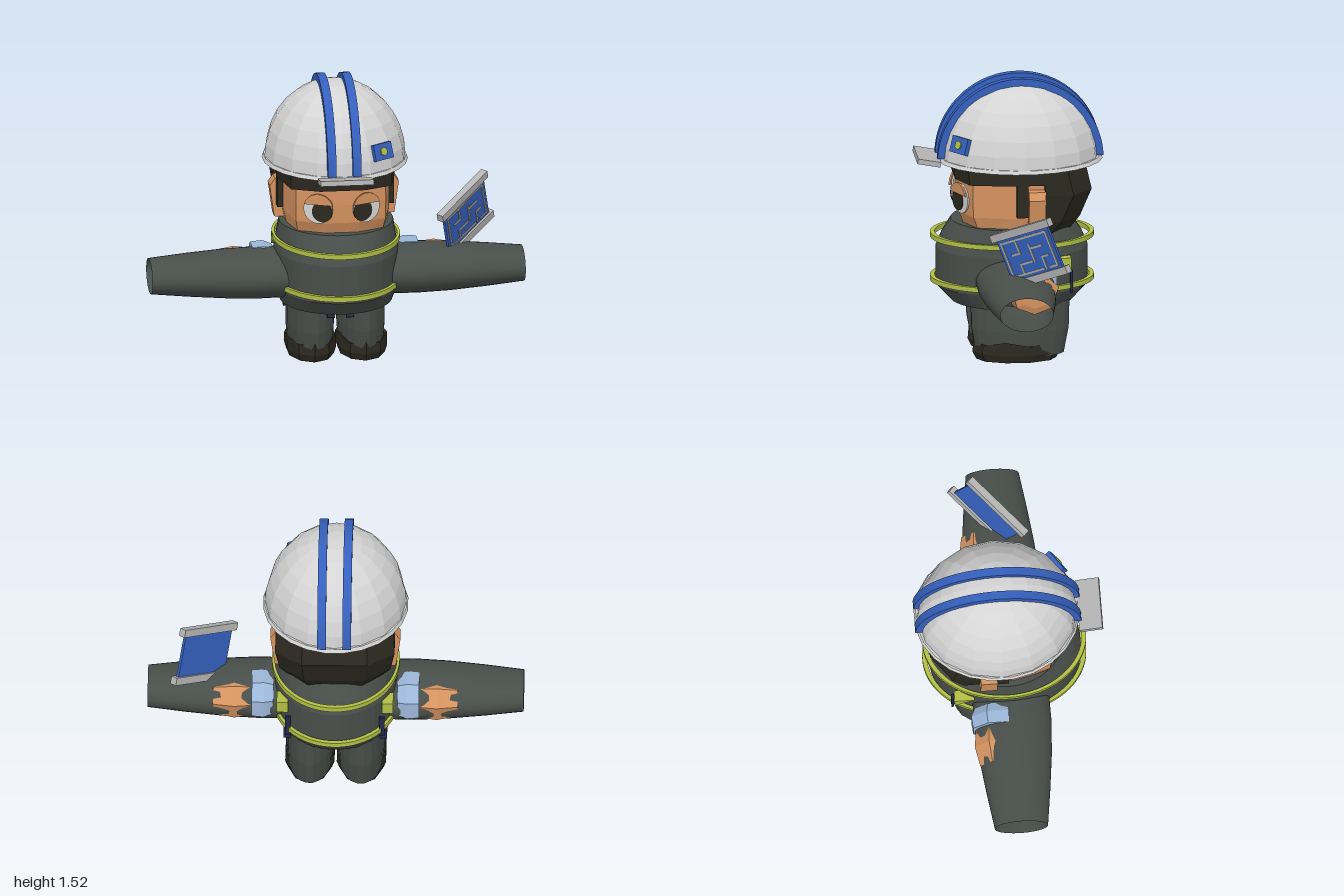
import * as THREE from 'three';

const mat = (name, color, side = THREE.FrontSide) => {
  const m = new THREE.MeshStandardMaterial({ color, side });
  m.name = name;
  return m;
};

export function createModel() {
  const suit = mat('suitGrey', 0x484e4a, THREE.DoubleSide);
  const lime = mat('reflectiveLime', 0xb2c045);
  const white = mat('helmetWhite', 0xd4d4d4, THREE.DoubleSide);
  const blue = mat('blue', 0x3560bd);
  const skin = mat('skin', 0xd4925f);
  const dark = mat('darkBrown', 0x2b291f);
  const cuffBlue = mat('cuffBlue', 0x9cb6d8);
  const navy = mat('navy', 0x23284c);
  const grey = mat('railGrey', 0xb4b4b4);
  const beige = mat('lineBeige', 0xb0aca0);

  const model = new THREE.Group();
  const add = (name, geo, material, parent = model) => {
    const mesh = new THREE.Mesh(geo, material);
    mesh.name = name;
    parent.add(mesh);
    return mesh;
  };
  // flat facets
  const flat = (geo) => {
    const g = geo.index ? geo.toNonIndexed() : geo;
    g.computeVertexNormals();
    return g;
  };
  // mirrored copy across x with corrected winding
  const mirror = (geo) => {
    const g = geo.clone().scale(-1, 1, 1);
    const n = g.attributes.position.count;
    const idx = g.index ? Array.from(g.index.array) : Array.from({ length: n }, (_, i) => i);
    for (let i = 0; i < idx.length; i += 3) [idx[i + 1], idx[i + 2]] = [idx[i + 2], idx[i + 1]];
    g.setIndex(idx);
    return g;
  };
  const pair = (name, geo, material) => {
    add(name + 'Left', geo, material);
    add(name + 'Right', mirror(geo), material);
  };
  // skin a list of rings, each counterclockwise about the direction of travel
  const loft = (rings, { caps = true, smooth = false } = {}) => {
    const n = rings[0].length, idx = [];
    for (let i = 0; i < rings.length - 1; i++)
      for (let j = 0; j < n; j++) {
        const k = (j + 1) % n, a = i * n + j, b = i * n + k, c = b + n, d = a + n;
        idx.push(a, b, c, a, c, d);
      }
    const t = (rings.length - 1) * n;
    if (caps) for (let j = 1; j < n - 1; j++) idx.push(0, j + 1, j, t, t + j, t + j + 1);
    const g = new THREE.BufferGeometry();
    g.setAttribute('position', new THREE.Float32BufferAttribute(rings.flat(2), 3));
    g.setIndex(idx);
    if (!smooth) return flat(g);
    g.computeVertexNormals();
    return g;
  };
  const around = (n, fn, turn = 0.5) =>
    Array.from({ length: n }, (_, j) => fn(((j + turn) / n) * Math.PI * 2));
  const ringY = (n, y, cx, cz, rx, rz) =>
    around(n, (a) => [cx + rx * Math.cos(a), y, cz - rz * Math.sin(a)]);
  const ringX = (n, x, cy, cz, ry, rz) =>
    around(n, (a) => [x, cy + ry * Math.cos(a), cz + rz * Math.sin(a)]);
  // symmetric polygon ring: right half listed from front to back
  const ringPoly = (y, half) => [
    ...half.map(([x, z]) => [x, y, z]),
    ...half.slice().reverse().map(([x, z]) => [-x, y, z]),
  ];

  // torso
  const torso = [[0.3, 0.3, 0.325], [0.385, 0.328, 0.405], [0.59, 0.33, 0.405], [0.66, 0.318, 0.375], [0.74, 0.305, 0.325]];
  add('torso', loft(torso.map(([y, rx, rz]) => ringY(40, y, 0, -0.015, rx, rz))), suit);

  // reflective bands
  for (const [name, y] of [['upperBand', 0.64], ['lowerBand', 0.403]]) {
    const s = new THREE.Shape().absellipse(0, 0.017, 0.34, 0.437, 0, Math.PI * 2);
    s.holes.push(new THREE.Path().absellipse(0, 0.017, 0.325, 0.412, 0, Math.PI * 2));
    const g = new THREE.ExtrudeGeometry(s, { depth: 0.026, bevelEnabled: false, curveSegments: 40 });
    add(name, g.rotateX(-Math.PI / 2).translate(0, y, 0), lime);
  }

  // wide open sleeves
  const sleeve = [[0.24, 0.128, 0.205], [0.42, 0.131, 0.207], [0.6, 0.125, 0.194], [0.8, 0.11, 0.17], [1, 0.091, 0.142]];
  pair('sleeve', loft(sleeve.map(([x, ry, rz]) => ringX(32, x, 0.455, -0.003, ry, rz)), { caps: false, smooth: true }), suit);

  // cuffs and hands, breaking through the back of the sleeves
  pair('cuff', loft([[0.33, 0.12], [0.38, 0.142], [0.445, 0.136]].map(([x, r]) => ringX(8, x, 0.472, -0.082, r * 0.9, r * 1.07))), cuffBlue);
  pair('hand', loft([[0.43, 0.1, 0.125], [0.54, 0.112, 0.142], [0.57, 0.106, 0.135], [0.65, 0.095, 0.12], [0.66, 0.06, 0.08]]
    .map(([x, ry, rz]) => ringX(7, x, 0.462, -0.078, ry, rz))), skin);

  // trousers and boots
  pair('trouserLeg', loft([[0.03, 0.118, 0.235], [0.17, 0.127, 0.262], [0.32, 0.127, 0.266]]
    .map(([y, rx, rz]) => ringY(20, y, 0.136, -0.047, rx, rz))), suit);
  const bootTop = ringY(10, 0.1, 0.137, -0.028, 0.136, 0.228).map(([x, y, z], i) => [x, y + (i % 2 ? 0.014 : -0.012), z]);
  pair('boot', loft([ringY(10, 0, 0.137, -0.028, 0.125, 0.215), ringY(10, 0.04, 0.137, -0.028, 0.138, 0.235), bootTop]), dark);

  // coat hem and trims peeking out of the torso
  pair('coatHem', flat(new THREE.BoxGeometry(0.08, 0.06, 0.13).rotateX(0.25).translate(0.235, 0.285, -0.13)), navy);
  pair('coatFold', flat(new THREE.BoxGeometry(0.04, 0.07, 0.02).rotateX(-0.4).translate(0.05, 0.28, 0.18)), navy);
  const tri = new THREE.Shape([new THREE.Vector2(0.2, 0.58), new THREE.Vector2(0.305, 0.585), new THREE.Vector2(0.305, 0.52)]);
  pair('backTrim', new THREE.ExtrudeGeometry(tri, { depth: 0.06, bevelEnabled: false }).rotateY(Math.PI / 2).translate(0.25, 0, 0), lime);
  pair('backSeam', new THREE.BoxGeometry(0.03, 0.12, 0.014).translate(0.25, 0.44, -0.312), navy);

  // head
  const face = (y, k, f) => ringPoly(y, [[0.09 * k, f], [0.24 * k, f - 0.065], [0.282 * k, 0.02], [0.28 * k, -0.2], [0.16 * k, -0.3]]);
  add('head', loft([face(0.69, 0.92, 0.235), face(0.8, 1, 0.275), face(0.9, 1, 0.28), face(1.07, 1, 0.275)]), skin);
  const earShape = new THREE.Shape([[0.25, 0.73], [0.322, 0.74], [0.346, 0.91], [0.318, 0.95], [0.25, 0.96]].map((p) => new THREE.Vector2(...p)));
  pair('ear', new THREE.ExtrudeGeometry(earShape, { depth: 0.09, bevelEnabled: false }).translate(0, 0, -0.168), skin);

  // eyes: thin discs on the angled cheeks, with a lid over the top
  const disc = (r, depth, from = 0, to = Math.PI * 2) => new THREE.ExtrudeGeometry(
    new THREE.Shape().absarc(0, 0, r, from, to, false), { depth, bevelEnabled: false, curveSegments: 28 });
  const onFace = (g, x, y, out) => g.rotateY(0.41).translate(x, y, 0.279 - (x - 0.09) * 0.433 + out);
  pair('eyeWhite', onFace(disc(0.08, 0.009), 0.127, 0.88, 0), white);
  pair('pupil', onFace(disc(0.056, 0.006), 0.108, 0.867, 0.008), dark);
  pair('eyelid', onFace(disc(0.084, 0.009, 0.3, Math.PI - 0.3), 0.127, 0.882, 0.014), skin);

  // hair
  const band = (y, f) => ringPoly(y, [[0.12, f], [0.27, f - 0.065], [0.312, 0.02], [0.312, -0.2], [0.18, -0.38]]);
  add('hairBand', loft([band(0.985, 0.297), band(1.085, 0.31)]), dark);
  const back = (y, w, z, f) => ringPoly(y, [[w, f], [w, z + 0.11], [w * 0.55, z]]);
  add('backHair', loft([back(0.69, 0.25, -0.3, -0.18), back(0.78, 0.295, -0.365, -0.172), back(0.93, 0.318, -0.427, -0.165), back(1.085, 0.312, -0.39, -0.165)]), dark);
  pair('sideburn', new THREE.BoxGeometry(0.05, 0.2, 0.06).translate(0.288, 0.91, -0.045), dark);

  // helmet
  const dome = new THREE.SphereGeometry(1, 16, 8, 0, Math.PI * 2, 0, Math.PI / 2);
  add('helmetDome', flat(dome.scale(0.378, 0.42, 0.428).translate(0, 1.072, -0.055)), white);
  add('helmetRim', loft([ringY(24, 1.066, 0, -0.057, 0.388, 0.444), ringY(24, 1.086, 0, -0.057, 0.38, 0.434)]), white);
  add('helmetPeak', new THREE.BoxGeometry(0.285, 0.028, 0.125).rotateX(-0.18).translate(0, 1.08, 0.437), grey);

  // helmet stripes
  const arc = new THREE.Shape();
  arc.absellipse(0, 0, 0.444, 0.447, 0.045, Math.PI - 0.045, false);
  arc.absellipse(0, 0, 0.405, 0.408, Math.PI - 0.045, 0.045, true);
  const stripe = new THREE.ExtrudeGeometry(arc, { depth: 0.046, bevelEnabled: false, curveSegments: 20 });
  pair('helmetStripe', stripe.rotateY(-Math.PI / 2).translate(0.09, 1.07, -0.055), blue);

  // helmet badge
  const badge = new THREE.Group();
  badge.name = 'helmetBadge';
  badge.position.set(0.21, 1.19, 0.275);
  badge.rotation.set(-0.3, 0.6, 0, 'YXZ');
  add('badgePlate', new THREE.BoxGeometry(0.125, 0.088, 0.035), blue, badge);
  add('badgeMark', new THREE.CylinderGeometry(0.024, 0.024, 0.008, 6).rotateX(Math.PI / 2).translate(0, 0, 0.02), lime, badge);
  model.add(badge);

  // plan sheet held above the left sleeve
  const plan = new THREE.Group();
  plan.name = 'planSheet';
  const u = new THREE.Vector3(0.245, 0.14, -0.25).normalize();
  const n = u.clone().cross(new THREE.Vector3(-0.043, 0.23, 0.09)).normalize();
  const v = n.clone().cross(u);
  plan.quaternion.setFromRotationMatrix(new THREE.Matrix4().makeBasis(u, v, n));
  plan.position.set(0.7, 0.715, -0.05);
  add('sheet', new THREE.BoxGeometry(0.37, 0.26, 0.016), blue, plan);
  for (const s of [-1, 1])
    add(s > 0 ? 'topRail' : 'bottomRail', new THREE.BoxGeometry(0.42, 0.042, 0.04).translate(0, s * 0.135, 0), grey, plan);
  // drawn walls as x1, y1, x2, y2
  const walls = [
    [-0.16, 0.095, 0.16, 0.095], [-0.16, -0.095, 0.06, -0.095], [0.11, -0.095, 0.16, -0.095],
    [-0.16, -0.095, -0.16, 0.095], [0.16, -0.095, 0.16, 0.095], [-0.06, 0.095, -0.06, 0.02],
    [-0.11, 0.02, -0.06, 0.02], [-0.08, -0.095, -0.08, -0.04], [-0.08, -0.04, 0.0, -0.04],
    [0.02, 0.05, 0.02, -0.04], [0.02, 0.03, 0.1, 0.03], [0.08, -0.095, 0.08, -0.03], [0.08, -0.03, 0.12, -0.03],
  ];
  for (const [x1, y1, x2, y2] of walls)
    add('planLine', new THREE.BoxGeometry(Math.abs(x2 - x1) + 0.011, Math.abs(y2 - y1) + 0.011, 0.006)
      .translate((x1 + x2) / 2, (y1 + y2) / 2, 0.01), beige, plan);
  model.add(plan);

  return model;
}
